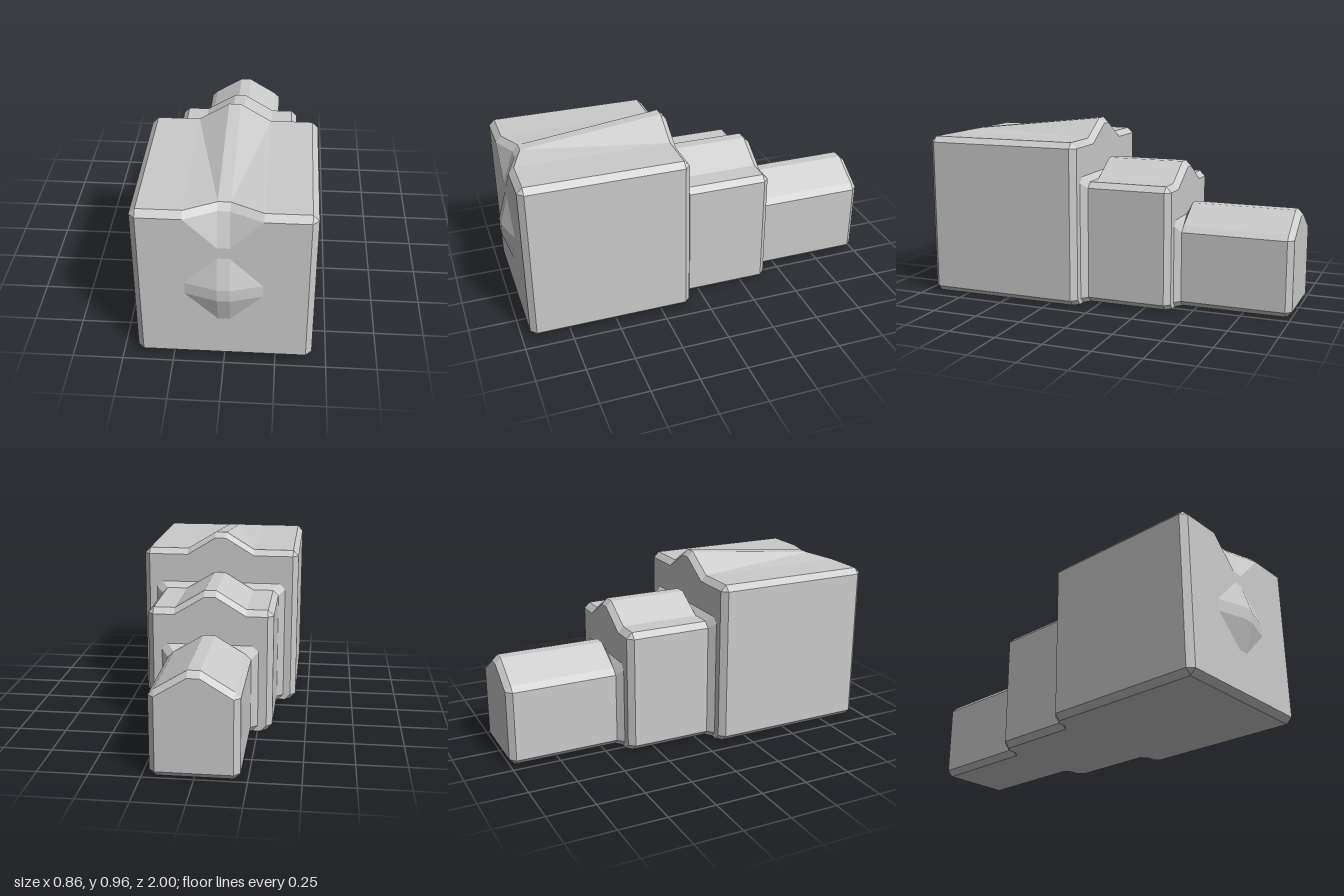
import * as THREE from 'three';

const C = 0.03;      // chamfer
const FOOT = 0.185;  // half width of the ridge at its foot
const CREST = 0.03;  // half width of the ridge at its crest

// Right half of a cross-section, from bottom centre round to top centre
const section = (z, w, top, crest) => [
  [0, 0, z], [w - C, 0, z], [w, C, z], [w, top - C, z], [w - C, top, z],
  [FOOT, top, z], [CREST, crest, z], [0, crest, z],
];

// Chamfered end of a cross-section; bottom is the height of its lower edge
const endSection = (z, w, top, crest, bottom) => [
  [0, bottom, z], [w - 2 * C, bottom, z], [w - C, C, z], [w - C, top - C, z], [w - C, top - C, z],
  [FOOT, top - C, z], [CREST, crest - C, z], [0, crest - C, z],
];

const point = (y, z, n) => Array.from({ length: n }, () => [0, y, z]);

// Skins half sections from back to front and mirrors them across x = 0
function loftMirrored(rings) {
  const pos = [];
  const tri = (a, b, c) => {
    const [p, q, r] = [a, b, c].map((v) => new THREE.Vector3(...v));
    if (q.clone().sub(p).cross(r.clone().sub(p)).length() < 1e-7) return;
    pos.push(...a, ...b, ...c);
    for (const v of [a, c, b]) pos.push(-v[0], v[1], v[2]);
  };
  for (let k = 0; k < rings.length - 1; k++) {
    const a = rings[k], b = rings[k + 1];
    for (let i = 0; i < a.length - 1; i++) {
      tri(a[i], a[i + 1], b[i + 1]);
      tri(a[i], b[i + 1], b[i]);
    }
  }
  const geo = new THREE.BufferGeometry();
  geo.setAttribute('position', new THREE.Float32BufferAttribute(pos, 3));
  geo.computeVertexNormals();
  return geo;
}

export function createModel() {
  const group = new THREE.Group();
  const material = new THREE.MeshStandardMaterial({ color: 0xcccccc, flatShading: true });
  const add = (name, rings) => {
    const mesh = new THREE.Mesh(loftMirrored(rings), material);
    mesh.name = name;
    group.add(mesh);
  };

  // Front face: the ridge is scooped back at the top edge
  const frontRim = section(0.925, 0.43, 0.865, 0.877);
  frontRim[6][2] = frontRim[7][2] = 0.865;
  const frontEdge = endSection(0.955, 0.43, 0.865, 0.875, C);
  frontEdge[1][0] = 0.4;
  frontEdge[6][2] = frontEdge[7][2] = 0.895;
  const frontFace = frontEdge.map((p) => [...p]);
  for (const i of [6, 7]) { frontFace[i][1] = 0.68; frontFace[i][2] = 0.955; }

  const rearEdge = endSection(-1, 0.215, 0.43, 0.525, C);
  rearEdge[1][0] = 0.185;

  // Three stepped tiers, each flaring out where it meets the next
  add('steppedBody', [
    point(0.25, -1, 8),
    rearEdge,
    section(-0.97, 0.215, 0.43, 0.525),
    section(-0.42, 0.215, 0.43, 0.525),
    section(-0.39, 0.25, 0.465, 0.465),
    endSection(-0.39, 0.325, 0.65, 0.745, 0),
    section(-0.36, 0.325, 0.65, 0.745),
    section(0.06, 0.325, 0.65, 0.745),
    section(0.09, 0.36, 0.68, 0.68),
    endSection(0.09, 0.43, 0.865, 0.96, 0),
    section(0.12, 0.43, 0.865, 0.96),
    frontRim,
    frontEdge,
    frontFace,
    point(0.4, 0.955, 8),
  ]);

  // Faceted boss on the front face
  add('frontBoss', [
    [[0, 0.25], [CREST, 0.25], [FOOT, 0.4], [FOOT, 0.465], [CREST, 0.62], [0, 0.62]].map((p) => [...p, 0.955]),
    [[0, 0.4], [CREST, 0.4], [CREST, 0.4], [CREST, 0.465], [CREST, 0.465], [0, 0.465]].map((p) => [...p, 1]),
    point(0.43, 1, 6),
  ]);

  return group;
}
